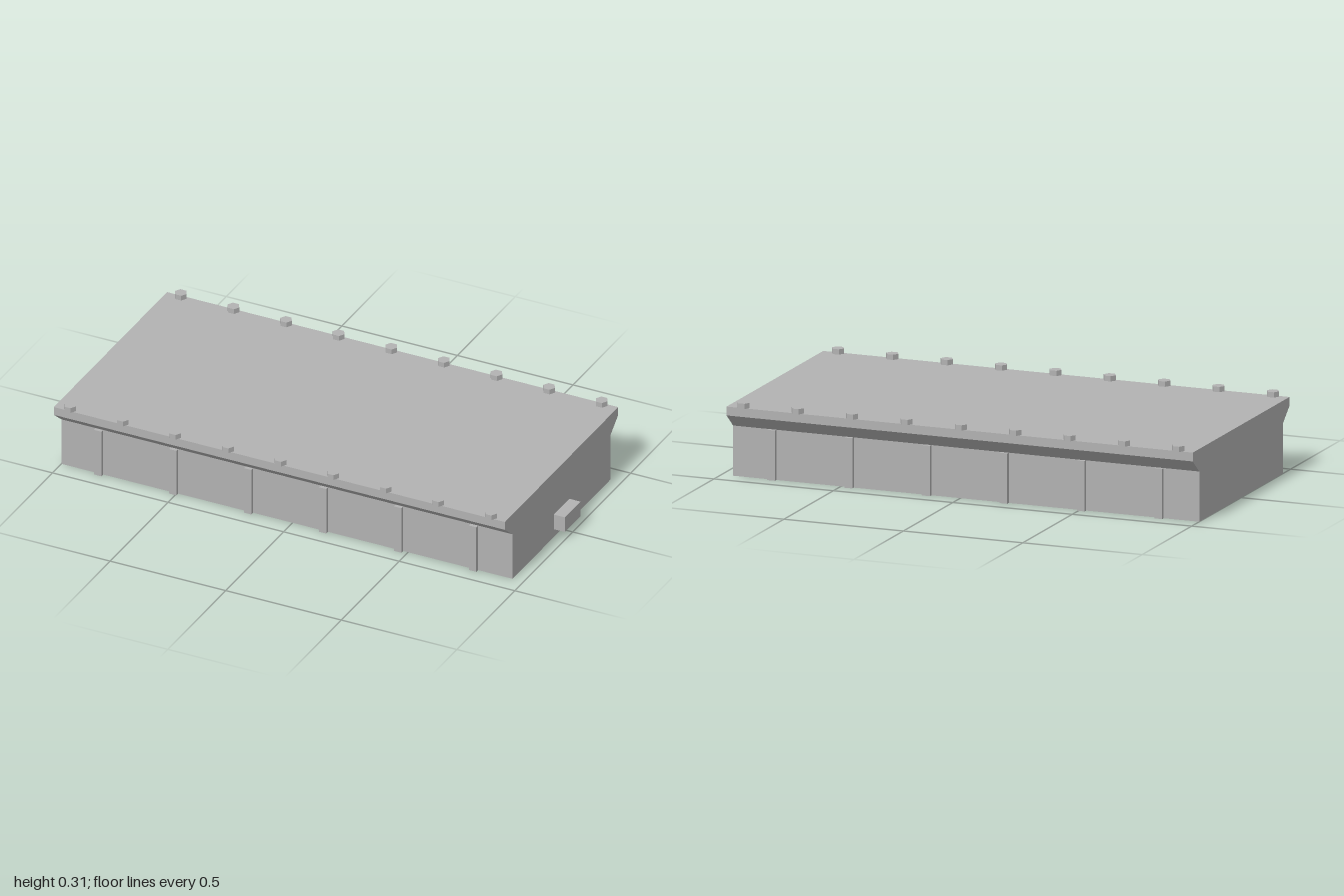
import * as THREE from 'three';

export function createModel() {
  const model = new THREE.Group();
  model.name = 'ribbedDeckBlock';
  const grey = new THREE.MeshStandardMaterial({ color: 0xb2b2b2 });
  grey.name = 'grey';

  const add = (name, geometry, x, y, z) => {
    const mesh = new THREE.Mesh(geometry, grey);
    mesh.name = name;
    mesh.position.set(x, y, z);
    model.add(mesh);
  };

  const back = -1, front = 0.952;

  // Body: flared cross-section extruded along x
  const half = [[0.423, 0], [0.423, 0.2], [0.489, 0.255], [0.489, 0.29]];
  const outline = [...half, ...half.map(([z, y]) => [-z, y]).reverse()];
  const section = new THREE.Shape(outline.map(([z, y]) => new THREE.Vector2(z, y)));
  const body = new THREE.ExtrudeGeometry(section, { depth: front - back, bevelEnabled: false });
  body.rotateY(Math.PI / 2);
  add('body', body, back, 0, 0);

  // Ribs along the lower walls and hexagonal bolts along the deck edges
  const rib = new THREE.BoxGeometry(0.032, 0.2, 0.03);
  const bolt = new THREE.CylinderGeometry(0.0255, 0.0255, 0.021, 6, 1, false, Math.PI / 6).toNonIndexed();
  bolt.computeVertexNormals();
  for (const side of [1, -1]) {
    const label = side > 0 ? 'front' : 'back';
    for (let i = 0; i < 6; i++) {
      add(label + 'Rib' + (i + 1), rib, -0.835 + i * 0.3243, 0.1, side * 0.4235);
    }
    for (let i = 0; i < 9; i++) {
      add(label + 'Bolt' + (i + 1), bolt, -0.935 + i * 0.2276, 0.3005, side * 0.478);
    }
  }

  // Small block projecting from the end wall
  add('endBlock', new THREE.BoxGeometry(0.058, 0.066, 0.134), 0.971, 0.068, 0);

  return model;
}
